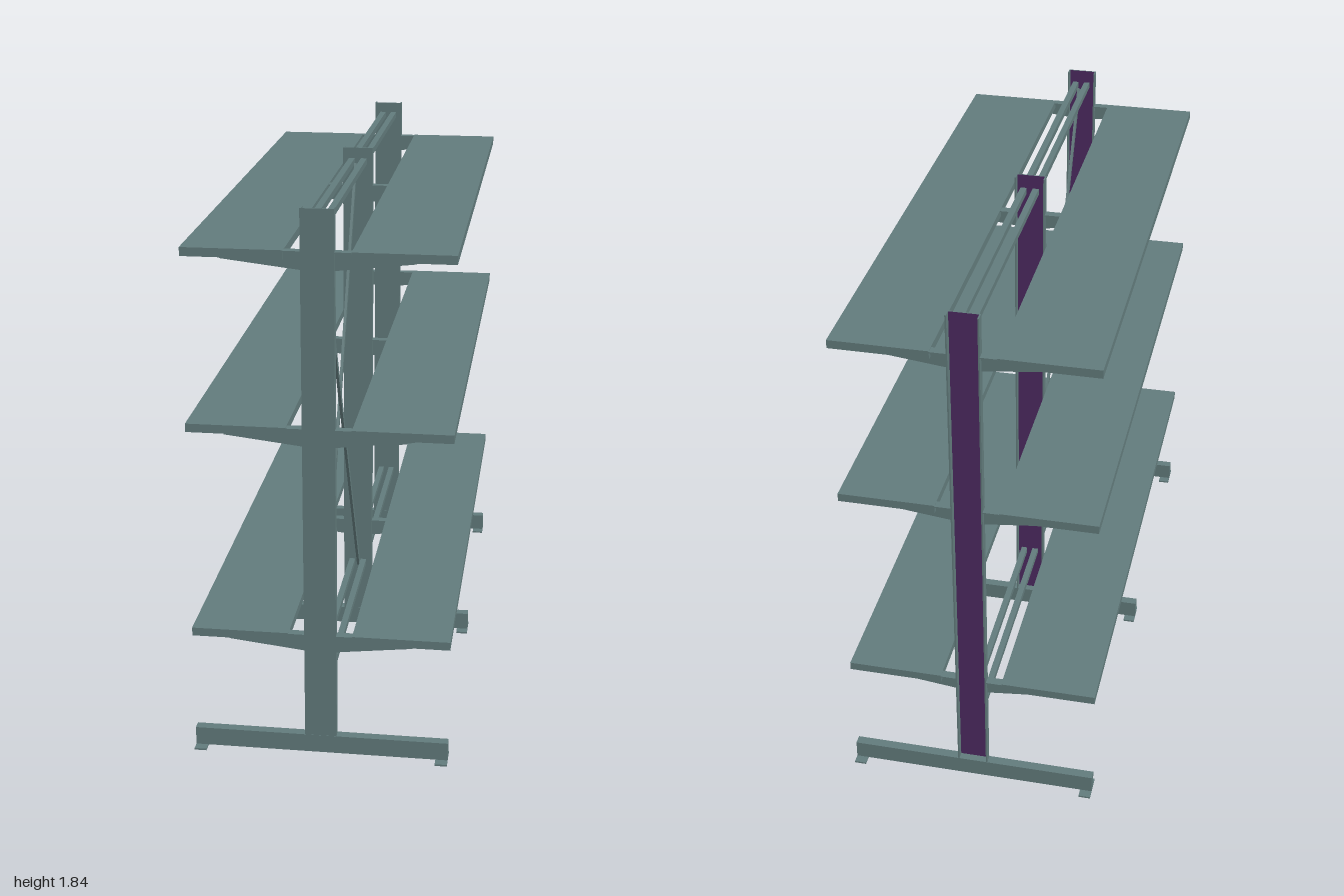
import * as THREE from 'three';

const steel = new THREE.MeshStandardMaterial({ color: 0x627b7c });
steel.name = 'greySteel';
const purple = new THREE.MeshStandardMaterial({ color: 0x4c2a60 });
purple.name = 'purpleChannel';

export function createModel() {
  const rack = new THREE.Group();
  rack.name = 'cantileverRack';

  const box = (name, parent, w, h, d, x, y, z, material = steel) => {
    const mesh = new THREE.Mesh(new THREE.BoxGeometry(w, h, d), material);
    mesh.name = name;
    mesh.position.set(x, y, z);
    parent.add(mesh);
    return mesh;
  };

  const frameZ = [0.955, 0, -0.955];
  const shelfTops = [0.434, 1.142, 1.709];
  const shelfThick = 0.028;
  const postTop = 1.84;

  // Tapered arm plate, with its top edge at y = 0
  const armShape = new THREE.Shape([
    [0.05, -0.06], [0.3, -0.031], [0.3, -shelfThick],
    [0.105, -shelfThick], [0.105, -0.003], [0.05, -0.003],
  ].map(([x, y]) => new THREE.Vector2(x, y)));
  const armGeometry = new THREE.ExtrudeGeometry(armShape, { depth: 0.006, bevelEnabled: false });

  for (const z of frameZ) {
    const frame = new THREE.Group();
    frame.name = 'uprightFrame';
    frame.position.z = z;
    rack.add(frame);

    // Channel post: web at the front, open towards the back
    const postH = postTop - 0.01;
    const postY = 0.01 + postH / 2;
    box('postWeb', frame, 0.104, postH, 0.005, 0, postY, 0.0125,
      [steel, steel, steel, steel, steel, purple]);
    for (const s of [-1, 1]) {
      box('postFlange', frame, 0.005, postH, 0.025, s * 0.0495, postY, -0.0025);
      box('footPad', frame, 0.04, 0.006, 0.09, s * 0.4, 0.003, 0);
    }

    // Base foot
    box('foot', frame, 0.84, 0.062, 0.032, 0, 0.037, 0);

    // Shelf arms on both sides of the post
    for (const top of shelfTops) {
      for (const s of [-1, 1]) {
        const arm = new THREE.Mesh(armGeometry, steel);
        arm.name = 'shelfArm';
        arm.position.set(0, top, s > 0 ? 0.004 : 0.01);
        arm.rotation.y = s > 0 ? 0 : Math.PI;
        frame.add(arm);
        box('armFlange', frame, 0.055, 0.004, 0.03, s * 0.0775, top - 0.003, 0);
      }
    }
  }

  // Shelves
  for (const top of shelfTops) {
    for (const s of [-1, 1]) {
      box('shelf', rack, 0.318, shelfThick, 1.935, s * 0.263, top - shelfThick / 2, 0);
    }
  }

  // Paired rails joining the posts at top and bottom
  for (const y of [0.263, 1.793]) {
    for (const x of [-0.021, 0.021]) {
      for (const z of [-0.478, 0.478]) {
        box('rail', rack, 0.021, 0.021, 0.93, x, y, z);
      }
    }
  }

  // Crossed braces in the front bay
  const dy = 1.52, dz = 0.885;
  for (const s of [-1, 1]) {
    const brace = box('crossBrace', rack, 0.009, Math.hypot(dy, dz), 0.02, s * 0.005, 1.026, 0.477);
    brace.rotation.x = s * Math.atan2(dz, dy);
  }

  // Slight turn of the whole rack
  rack.rotation.y = -0.0075;
  return rack;
}
